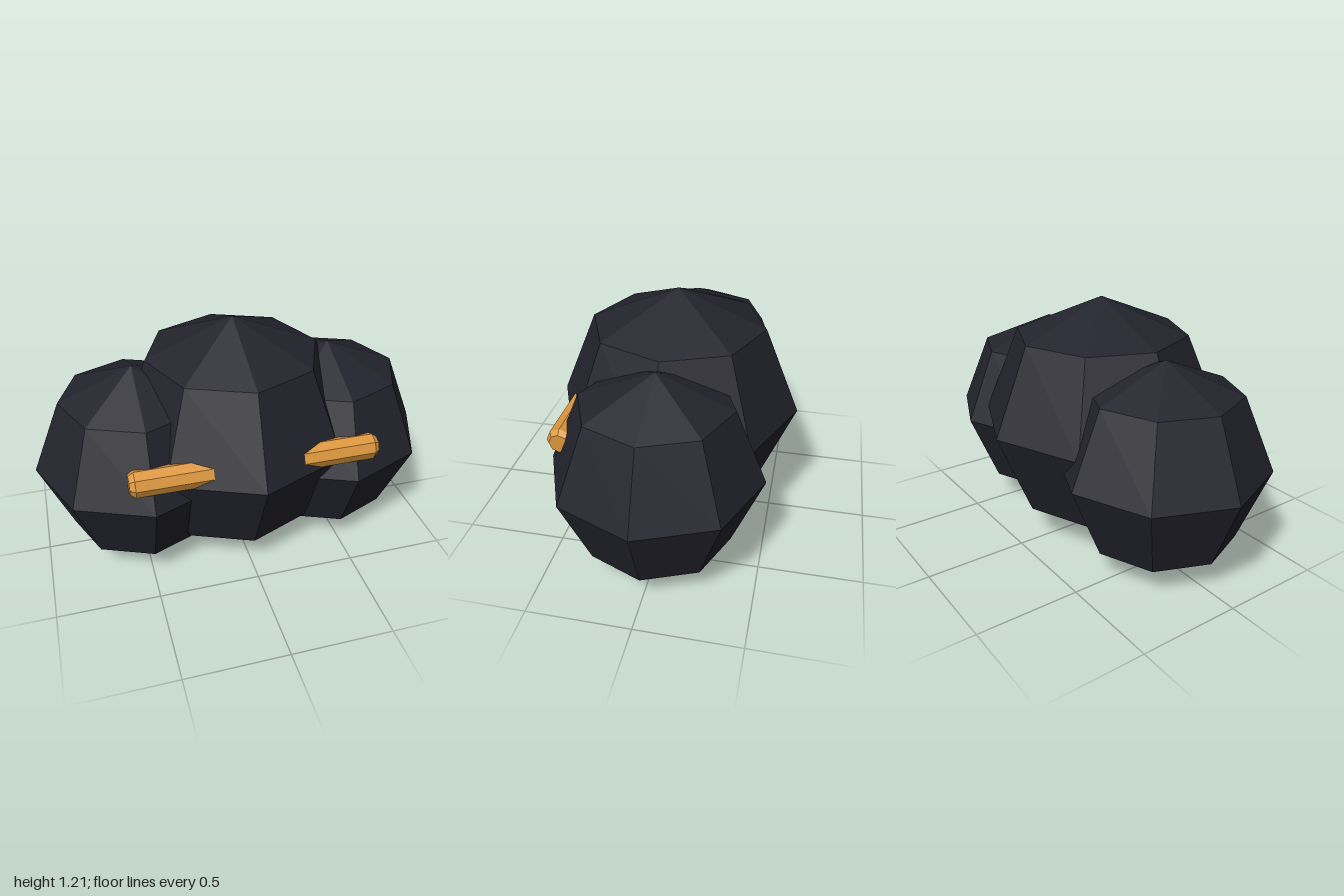
import * as THREE from 'three';

export function createModel() {
  const model = new THREE.Group();
  model.name = 'lobedBody';

  const charcoal = new THREE.MeshStandardMaterial({ color: 0x23232d, flatShading: true });
  charcoal.name = 'charcoal';
  const amber = new THREE.MeshStandardMaterial({ color: 0xdc963c, flatShading: true });
  amber.name = 'amber';

  // Faceted lobe resting on the ground
  function addLobe(name, radius, x) {
    const lobe = new THREE.Mesh(new THREE.SphereGeometry(radius, 8, 4), charcoal);
    lobe.name = name;
    lobe.position.set(x, radius, 0);
    model.add(lobe);
  }
  addLobe('centerLobe', 0.605, 0);

  // Eight-sided bar with chamfered ends, lying along x
  const half = 0.208, radius = 0.065, chamfer = 0.025, endRadius = 0.046;
  const profile = [
    [0, -half], [endRadius, -half], [radius, -half + chamfer],
    [radius, half - chamfer], [endRadius, half], [0, half],
  ].map(([r, y]) => new THREE.Vector2(r, y));
  const barGeometry = new THREE.LatheGeometry(profile, 8).rotateZ(Math.PI / 2);

  // Side lobes and eye bars, mirrored
  for (const [side, sign] of [['left', 1], ['right', -1]]) {
    addLobe(side + 'Lobe', 0.508, sign * 0.492);
    const bar = new THREE.Mesh(barGeometry, amber);
    bar.name = side + 'EyeBar';
    bar.position.set(sign * 0.388, 0.655, 0.43);
    model.add(bar);
  }
  return model;
}
